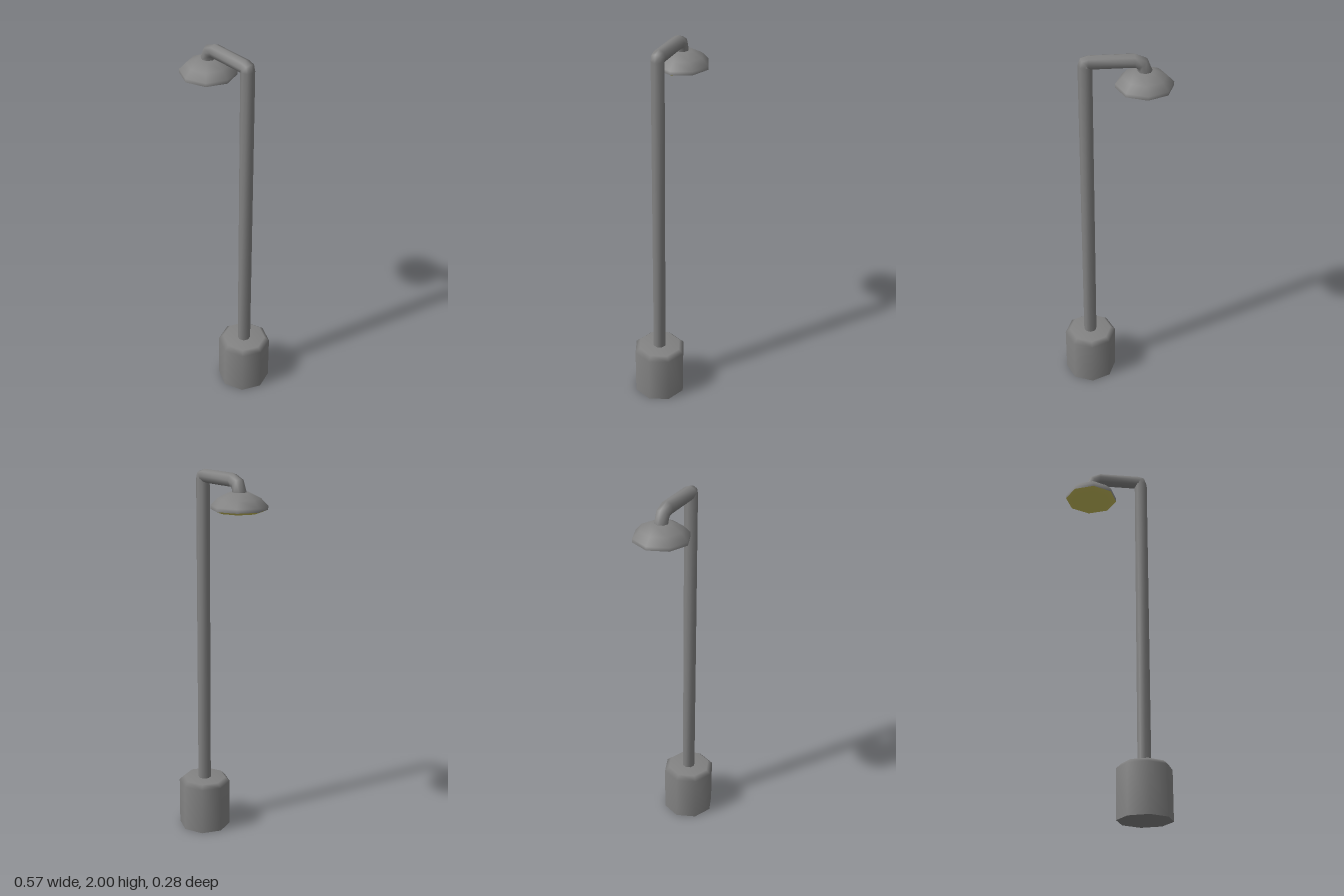
import * as THREE from 'three';

const SIDES = 8;
const OFFSET = 0.1425; // post and lamp sit at +x and -x

const metal = new THREE.MeshStandardMaterial({ color: 0x828282 });
metal.name = 'grey metal';
const glow = new THREE.MeshStandardMaterial({ color: 0xc8be5c });
glow.name = 'pale yellow lens';

// Smooth octagonal turned part; profile is [radius, y] from bottom to top
function turned(name, profile, material, x) {
  const points = profile.map(([r, y]) => new THREE.Vector2(r, y));
  const mesh = new THREE.Mesh(new THREE.LatheGeometry(points, SIDES), material);
  mesh.name = name;
  mesh.position.x = x;
  return mesh;
}

// Octagonal tube through rings [x, y, angle], angle being the travel direction in the xy plane
function pipe(rings, radius) {
  const positions = [];
  const index = [];
  rings.forEach(([x, y, angle], i) => {
    for (let j = 0; j < SIDES; j++) {
      const a = (j / SIDES) * Math.PI * 2;
      const side = Math.cos(a) * radius;
      positions.push(x + Math.sin(angle) * side, y - Math.cos(angle) * side, Math.sin(a) * radius);
      if (i === 0) continue;
      const k = (j + 1) % SIDES;
      const p = (i - 1) * SIDES;
      const q = i * SIDES;
      index.push(p + j, q + j, p + k, p + k, q + j, q + k);
    }
  });
  const geometry = new THREE.BufferGeometry();
  geometry.setAttribute('position', new THREE.Float32BufferAttribute(positions, 3));
  geometry.setIndex(index);
  geometry.computeVertexNormals();
  return geometry;
}

export function createModel() {
  const model = new THREE.Group();
  model.name = 'streetLamp';

  // Base block with bevelled top edge and flat underside
  model.add(turned('base', [[OFFSET, 0], [OFFSET, 0.262], [0.117, 0.285], [0, 0.285]], metal, OFFSET));
  const underside = new THREE.Mesh(new THREE.CircleGeometry(OFFSET, SIDES), metal);
  underside.name = 'baseUnderside';
  underside.rotation.x = Math.PI / 2;
  underside.position.x = OFFSET;
  model.add(underside);

  // Post, tight elbow, arm and rounded drop to the lamp
  const q = Math.PI / 4;
  const rings = [
    [OFFSET, 0.28, 2 * q],
    [OFFSET, 1.95, 2 * q],
    [0.1405, 1.963, 3 * q],
    [0.127, 1.965, 4 * q],
  ];
  for (let i = 0; i <= 2; i++) {
    const a = (2 + i) * q;
    rings.push([-0.0925 + Math.cos(a) * 0.05, 1.915 + Math.sin(a) * 0.05, a + 2 * q]);
  }
  rings.push([-OFFSET, 1.9, 6 * q]);
  const post = new THREE.Mesh(pipe(rings, 0.035), metal);
  post.name = 'postAndArm';
  model.add(post);

  // Lamp shade and its shallow lens
  model.add(turned('lampShade',
    [[OFFSET, 1.827], [OFFSET, 1.846], [0.108, 1.882], [0.052, 1.91], [0, 1.91]], metal, -OFFSET));
  model.add(turned('lampLens', [[0, 1.814], [0.11, 1.814], [OFFSET, 1.827]], glow, -OFFSET));

  return model;
}
